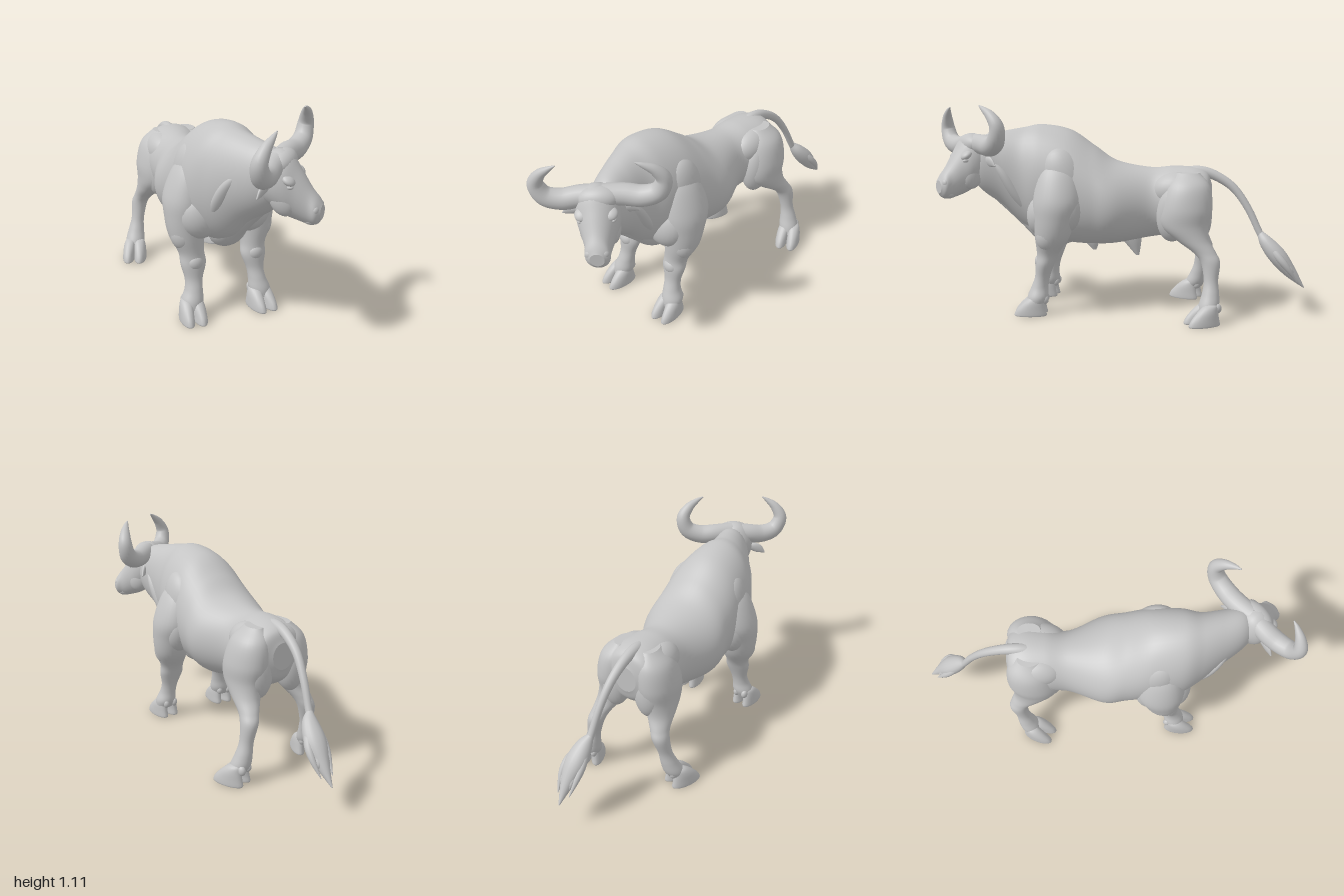
import * as THREE from 'three';

const hide = new THREE.MeshStandardMaterial({ color: 0xc4c4c4 });
hide.name = 'stone grey';

const X = new THREE.Vector3(1, 0, 0);
const Y = new THREE.Vector3(0, 1, 0);
const Z = new THREE.Vector3(0, 0, 1);
const DOWN = new THREE.Vector3(0, -1, 0);

// Smooth skin through oval sections [x, y, z, halfWidth, halfHeight].
// ref gives the "up" of each oval; fixed keeps all ovals in parallel planes.
function loft(parent, name, rows, ref, fixed = null, sides = 28, steps = 6) {
  const path = new THREE.CatmullRomCurve3(rows.map(r => new THREE.Vector3(r[0], r[1], r[2])), false, 'catmullrom');
  const size = new THREE.CatmullRomCurve3(rows.map(r => new THREE.Vector3(r[3], r[4] ?? r[3], 0)), false, 'catmullrom');
  const n = (rows.length - 1) * steps;
  const pos = [], index = [];
  for (let i = 0; i <= n; i++) {
    const c = path.getPoint(i / n), r = size.getPoint(i / n);
    const t = fixed ?? path.getTangent(i / n);
    const side = new THREE.Vector3().crossVectors(ref, t).normalize();
    const up = new THREE.Vector3().crossVectors(t, side).normalize();
    for (let j = 0; j < sides; j++) {
      const a = j / sides * Math.PI * 2;
      const p = c.clone()
        .addScaledVector(side, Math.cos(a) * Math.max(r.x, 0.001))
        .addScaledVector(up, Math.sin(a) * Math.max(r.y, 0.001));
      pos.push(p.x, p.y, p.z);
      if (i === n) continue;
      const k = (j + 1) % sides, A = i * sides, B = A + sides;
      index.push(A + j, A + k, B + j, A + k, B + k, B + j);
    }
  }
  // End caps with their own rims, so flat ends stay crisp
  for (const end of [0, n]) {
    const base = pos.length / 3, c = path.getPoint(end / n);
    for (let j = 0; j < sides; j++) {
      const o = (end * sides + j) * 3;
      pos.push(pos[o], pos[o + 1], pos[o + 2]);
      const k = (j + 1) % sides;
      if (end) index.push(base + j, base + k, base + sides);
      else index.push(base + k, base + j, base + sides);
    }
    pos.push(c.x, c.y, c.z);
  }
  const g = new THREE.BufferGeometry();
  g.setAttribute('position', new THREE.Float32BufferAttribute(pos, 3));
  g.setIndex(index);
  g.computeVertexNormals();
  const m = new THREE.Mesh(g, hide);
  m.name = name;
  parent.add(m);
}

// Ellipsoid muscle
function blob(parent, name, [x, y, z], [rx, ry, rz], tilt = 0) {
  const m = new THREE.Mesh(new THREE.SphereGeometry(1, 28, 18), hide);
  m.name = name;
  m.position.set(x, y, z);
  m.scale.set(rx, ry, rz);
  m.rotation.x = tilt;
  parent.add(m);
}

// Cloven hoof with two toes and dewclaws, standing on y = 0
function hoof(parent, name, x, z, yaw) {
  const g = new THREE.Group();
  g.name = name;
  for (const s of [-1, 1]) {
    loft(g, 'toe', [
      [s * 0.022, 0.112, -0.03, 0.008, 0.012], [s * 0.026, 0.1, -0.02, 0.026, 0.036],
      [s * 0.03, 0.072, -0.004, 0.033, 0.056], [s * 0.033, 0.035, 0.01, 0.034, 0.076],
      [s * 0.033, 0.008, 0.014, 0.035, 0.086], [s * 0.033, 0, 0.014, 0.033, 0.084]], Z, DOWN, 20, 4);
    blob(g, 'dewclaw', [s * 0.026, 0.085, -0.06], [0.018, 0.026, 0.022]);
  }
  g.position.set(x, 0, z);
  g.rotation.y = yaw;
  parent.add(g);
}

// Leg from rows for the left side; the lower part drifts by dx, dz
function leg(parent, name, rows, s, cx, dx, dz) {
  loft(parent, name, rows.map(([x, y, z, a, b]) => {
    const k = THREE.MathUtils.clamp(1 - (y - 0.08) / 0.4, 0, 1);
    return [cx + s * x + dx * k, y, z + dz * k, a, b];
  }), Z, DOWN);
}

function buildHead() {
  const head = new THREE.Group();
  head.name = 'head';
  loft(head, 'skull', [
    [0, -0.03, -0.09, 0.04, 0.05], [0, -0.03, -0.05, 0.09, 0.115], [0, -0.035, 0, 0.106, 0.14],
    [0, -0.058, 0.05, 0.1, 0.146], [0, -0.1, 0.1, 0.078, 0.12], [0, -0.143, 0.15, 0.06, 0.088],
    [0, -0.162, 0.185, 0.058, 0.062], [0, -0.165, 0.205, 0.034, 0.034]], Y, Z);
  blob(head, 'chin', [0, -0.205, 0.155], [0.042, 0.026, 0.042]);
  blob(head, 'forelock', [0.01, 0.045, 0.015], [0.1, 0.058, 0.058]);
  for (const s of [-1, 1]) {
    const o = 0.026;
    loft(head, 'horn', [
      [o, 0.05, 0, 0.052], [o + s * 0.1, 0.042, -0.008, 0.053], [o + s * 0.185, 0.035, 0, 0.051],
      [o + s * 0.26, 0.062, 0.008, 0.046], [o + s * 0.29, 0.13, 0.012, 0.038], [o + s * 0.26, 0.188, 0.026, 0.027],
      [o + s * 0.212, 0.225, 0.04, 0.014], [o + s * 0.176, 0.245, 0.046, 0.003]], Z, null, 20);
    loft(head, 'ear', [
      [s * 0.08, -0.035, -0.02, 0.016, 0.014], [s * 0.12, -0.04, -0.025, 0.026, 0.014],
      [s * 0.15, -0.052, -0.03, 0.023, 0.01], [s * 0.182, -0.07, -0.035, 0.003, 0.003]], Z, null, 16);
    blob(head, 'brow', [s * 0.066, -0.008, 0.068], [0.034, 0.02, 0.034], 0.6);
    blob(head, 'eye', [s * 0.077, -0.036, 0.076], [0.013, 0.011, 0.018]);
    blob(head, 'cheek', [s * 0.056, -0.11, 0.035], [0.04, 0.08, 0.06], -0.4);
    blob(head, 'nostril', [s * 0.032, -0.147, 0.182], [0.025, 0.024, 0.018]);
  }
  head.position.set(0.052, 0.85, 0.765);
  head.rotation.set(0, 0.72, 0.07);
  return head;
}

function buildTail() {
  const tail = new THREE.Group();
  tail.name = 'tail';
  loft(tail, 'tailStem', [
    [-0.03, 0.74, -0.34, 0.03], [-0.03, 0.755, -0.43, 0.03], [-0.025, 0.735, -0.52, 0.026],
    [-0.015, 0.67, -0.62, 0.022], [0, 0.56, -0.7, 0.019], [0.015, 0.42, -0.77, 0.018],
    [0.03, 0.36, -0.83, 0.02]], X, null, 16);
  loft(tail, 'tuft', [
    [0.01, 0.44, -0.76, 0.014], [0.03, 0.39, -0.795, 0.036, 0.042], [0.043, 0.32, -0.855, 0.046, 0.055],
    [0.05, 0.24, -0.92, 0.033], [0.05, 0.155, -0.995, 0.003]], X, null, 18);
  // Loose locks of hair fanned around the tuft
  for (let i = 0; i < 6; i++) {
    const a = i / 6 * Math.PI * 2, u = Math.cos(a), v = Math.sin(a) * 0.7, d = (i % 3) * 0.025;
    loft(tail, 'lock', [
      [0.025 + u * 0.015, 0.4 + v * 0.01, -0.79 + v * 0.01, 0.012],
      [0.043 + u * 0.042, 0.33 + v * 0.04, -0.85 + v * 0.035, 0.02],
      [0.05 + u * 0.046, 0.27 + v * 0.04, -0.9 + v * 0.035, 0.016],
      [0.05 + u * 0.033, 0.19 + d + v * 0.02, -0.955 + d + v * 0.02, 0.002]], X, null, 10);
  }
  return tail;
}

export function createModel() {
  const bull = new THREE.Group();
  bull.name = 'bull';

  // Rump, barrel, hump and neck in one skin
  loft(bull, 'body', [
    [-0.02, 0.62, -0.505, 0.06, 0.07], [-0.02, 0.62, -0.48, 0.135, 0.13], [-0.02, 0.61, -0.41, 0.172, 0.168],
    [-0.03, 0.6, -0.3, 0.168, 0.182], [-0.042, 0.585, -0.18, 0.158, 0.188], [-0.037, 0.585, 0, 0.23, 0.222],
    [-0.037, 0.62, 0.12, 0.228, 0.265], [-0.04, 0.665, 0.25, 0.222, 0.305], [-0.04, 0.695, 0.4, 0.205, 0.303],
    [-0.03, 0.715, 0.5, 0.165, 0.267], [0, 0.76, 0.6, 0.134, 0.205], [0.035, 0.79, 0.7, 0.107, 0.155],
    [0.05, 0.8, 0.76, 0.07, 0.1]], Y, Z, 48, 8);
  loft(bull, 'dewlap', [
    [-0.03, 0.42, 0.24, 0.04, 0.06], [-0.025, 0.425, 0.34, 0.085, 0.092], [-0.02, 0.475, 0.43, 0.085, 0.105],
    [-0.015, 0.545, 0.51, 0.065, 0.095], [0.01, 0.61, 0.59, 0.05, 0.075], [0.035, 0.67, 0.68, 0.03, 0.045]], Y, Z);
  loft(bull, 'sheath', [
    [-0.045, 0.42, -0.06, 0.04, 0.07], [-0.045, 0.36, -0.085, 0.028, 0.045], [-0.045, 0.29, -0.11, 0.008, 0.01]], Z, DOWN);
  loft(bull, 'navel', [
    [-0.045, 0.42, 0.16, 0.03, 0.07], [-0.045, 0.36, 0.14, 0.022, 0.04], [-0.045, 0.315, 0.125, 0.007, 0.01]], Z, DOWN);

  const foreRows = [
    [0.13, 0.84, 0.3, 0.03, 0.04], [0.16, 0.75, 0.295, 0.075, 0.1], [0.18, 0.62, 0.295, 0.107, 0.128],
    [0.188, 0.52, 0.31, 0.102, 0.11], [0.185, 0.42, 0.325, 0.09, 0.09], [0.17, 0.335, 0.35, 0.066, 0.06],
    [0.166, 0.275, 0.367, 0.066, 0.05], [0.17, 0.205, 0.382, 0.047, 0.04], [0.176, 0.15, 0.396, 0.046, 0.045],
    [0.186, 0.1, 0.405, 0.056, 0.055], [0.192, 0.06, 0.415, 0.05, 0.05]];
  const hindRows = [
    [0.08, 0.76, -0.38, 0.04, 0.06], [0.1, 0.69, -0.38, 0.09, 0.115], [0.115, 0.58, -0.37, 0.105, 0.138],
    [0.13, 0.49, -0.365, 0.088, 0.125], [0.145, 0.42, -0.4, 0.07, 0.088], [0.165, 0.36, -0.452, 0.05, 0.06],
    [0.18, 0.31, -0.478, 0.044, 0.05], [0.195, 0.22, -0.47, 0.036, 0.037], [0.208, 0.155, -0.46, 0.044, 0.044],
    [0.22, 0.1, -0.445, 0.053, 0.052], [0.23, 0.06, -0.43, 0.045, 0.045]];

  for (const s of [-1, 1]) {
    const cx = -0.035;
    leg(bull, 'foreleg', foreRows, s, cx, 0, 0);
    hoof(bull, 'foreHoof', s > 0 ? 0.148 : -0.232, 0.43, s * 0.1);
    blob(bull, 'shoulderBlade', [cx + s * 0.14, 0.71, 0.27], [0.085, 0.18, 0.12], 0.25);
    blob(bull, 'chestMuscle', [cx + s * 0.13, 0.54, 0.365], [0.12, 0.13, 0.1], -0.2);
    blob(bull, 'triceps', [cx + s * 0.18, 0.56, 0.24], [0.08, 0.12, 0.075], -0.25);
    blob(bull, 'forearmMuscle', [cx + s * 0.205, 0.435, 0.338], [0.07, 0.09, 0.07], -0.2);
    blob(bull, 'kneecap', [cx + s * 0.166, 0.285, 0.385], [0.045, 0.045, 0.038]);
    loft(bull, 'neckCord', [
      [0.03 + s * 0.06, 0.84, 0.66, 0.015, 0.03], [s * 0.1, 0.75, 0.59, 0.03, 0.045],
      [-0.02 + s * 0.105, 0.65, 0.53, 0.035, 0.05], [-0.03 + s * 0.09, 0.54, 0.46, 0.03, 0.04]], X, null, 18);

    leg(bull, 'hindLeg', hindRows, s, -0.012, s > 0 ? 0.012 : -0.012, s > 0 ? -0.055 : 0.02);
    hoof(bull, 'hindHoof', s > 0 ? 0.242 : -0.262, s > 0 ? -0.475 : -0.385, s * 0.42);
    blob(bull, 'thighMuscle', [-0.015 + s * 0.12, 0.56, -0.315], [0.075, 0.16, 0.095], -0.15);
    blob(bull, 'hamstring', [-0.015 + s * 0.1, 0.56, -0.43], [0.085, 0.16, 0.075], 0.1);
    blob(bull, 'hip', [-0.025 + s * 0.08, 0.66, -0.33], [0.09, 0.1, 0.14]);
  }

  bull.add(buildHead(), buildTail());
  return bull;
}
